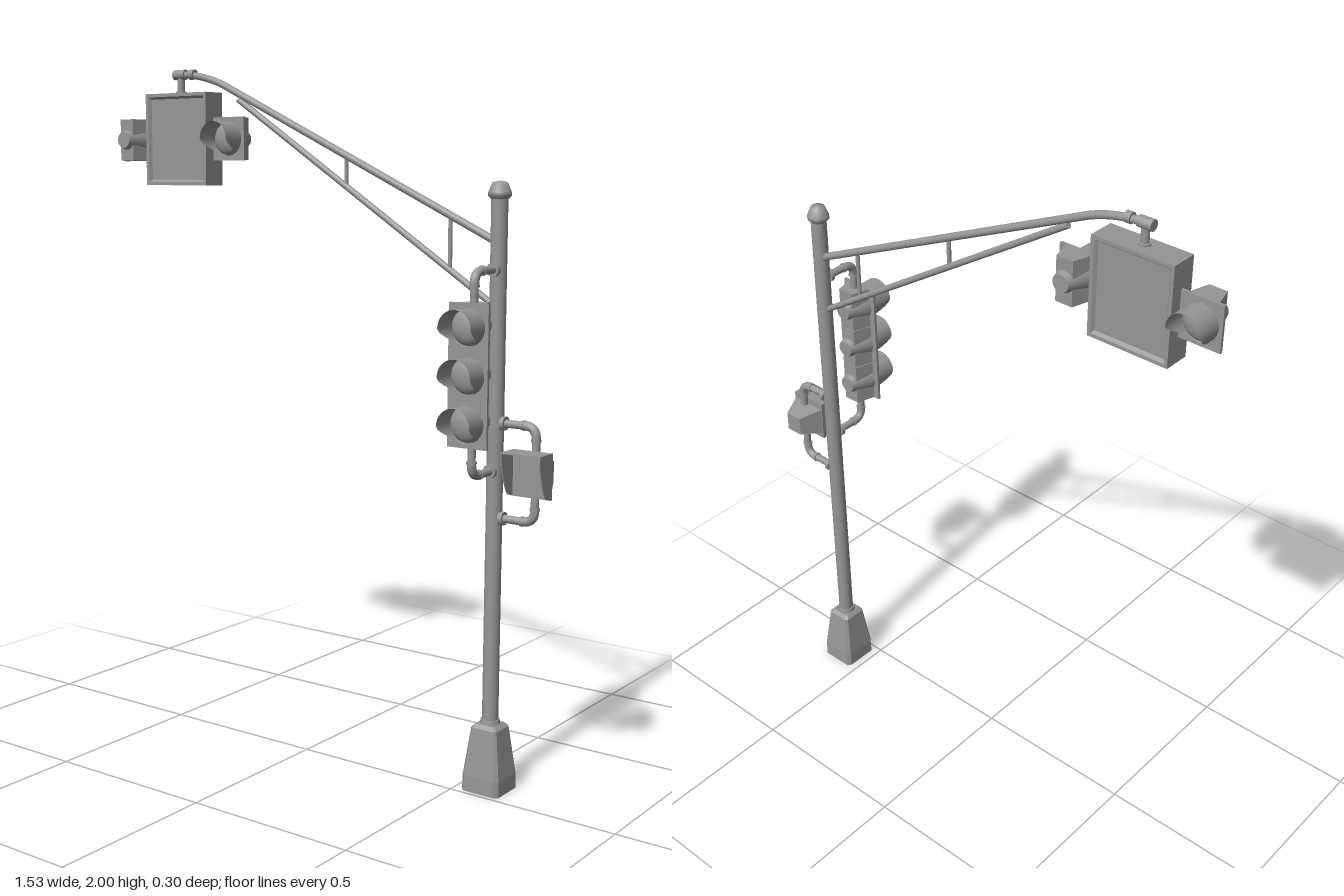
import * as THREE from 'three';

const V = (x, y, z) => new THREE.Vector3(x, y, z);
const POLE_X = 0.582, POLE_Z = -0.07;

export function createModel() {
  const root = new THREE.Group();
  root.name = 'trafficSignal';
  const grey = new THREE.MeshStandardMaterial({ color: 0x969696 });
  const thin = new THREE.MeshStandardMaterial({ color: 0x969696, side: THREE.DoubleSide });

  const add = (parent, name, geo, x = 0, y = 0, z = 0, mat = grey) => {
    const m = new THREE.Mesh(geo, mat);
    m.name = name;
    m.position.set(x, y, z);
    parent.add(m);
    return m;
  };
  const group = (name, x, y, z, parent = root) => {
    const g = new THREE.Group();
    g.name = name;
    g.position.set(x, y, z);
    parent.add(g);
    return g;
  };

  // Box whose -z end is narrowed to kx, ky of its front
  const taperBox = (w, h, d, kx, ky) => {
    const g = new THREE.BoxGeometry(w, h, d), p = g.attributes.position;
    for (let i = 0; i < p.count; i++) {
      if (p.getZ(i) < 0) p.setXY(i, p.getX(i) * kx, p.getY(i) * ky);
    }
    g.computeVertexNormals();
    return g;
  };

  // Upright square block with cut corners, from half-width a at y0 to b at y1
  const squareBlock = (a, b, y0, y1) => {
    const c = a * 0.82;
    const shape = new THREE.Shape([[a, -c], [a, c], [c, a], [-c, a], [-a, c], [-a, -c], [-c, -a], [c, -a]]
      .map(([x, y]) => new THREE.Vector2(x, y)));
    const g = new THREE.ExtrudeGeometry(shape, { depth: y1 - y0, bevelEnabled: false });
    const p = g.attributes.position;
    for (let i = 0; i < p.count; i++) {
      if (p.getZ(i) > 0) p.setXY(i, p.getX(i) * b / a, p.getY(i) * b / a);
    }
    g.computeVertexNormals();
    return g.rotateX(-Math.PI / 2).translate(0, y0, 0);
  };

  // Straight round bar between two points
  const bar = (parent, name, a, b, r, sides = 16) => {
    const m = add(parent, name, new THREE.CylinderGeometry(r, r, a.distanceTo(b), sides));
    m.position.copy(a).lerp(b, 0.5);
    m.quaternion.setFromUnitVectors(V(0, 1, 0), b.clone().sub(a).normalize());
  };

  // Pipe from the pole with one rounded elbow, slim sleeves and a wall flange
  const elbowPipe = (name, start, corner, end) => {
    const g = group(name, 0, 0, 0), bend = 0.035;
    const toStart = start.clone().sub(corner).normalize(), toEnd = end.clone().sub(corner).normalize();
    const a = corner.clone().addScaledVector(toStart, bend);
    const b = corner.clone().addScaledVector(toEnd, bend);
    bar(g, 'pipe', start, a, 0.011);
    bar(g, 'pipe', b, end, 0.011);
    add(g, 'elbow', new THREE.TubeGeometry(new THREE.QuadraticBezierCurve3(a, corner, b), 12, 0.0125, 14));
    bar(g, 'sleeve', a.clone().addScaledVector(toStart, 0.006), a, 0.014);
    bar(g, 'sleeve', b.clone().addScaledVector(toEnd, 0.006), b, 0.014);
    bar(g, 'flange', start, start.clone().addScaledVector(toStart, -0.012), 0.019);
  };

  // Lamp hood: a tube cut back along its lower half
  const hoodGeo = new THREE.CylinderGeometry(0.05, 0.05, 1, 32, 4, true);
  hoodGeo.rotateX(Math.PI / 2).translate(0, 0, 0.5);
  const hp = hoodGeo.attributes.position;
  for (let i = 0; i < hp.count; i++) {
    const low = Math.max(0, -hp.getY(i) / 0.05);
    hp.setZ(i, hp.getZ(i) * 0.075 * (1 - 0.85 * low * low * (3 - 2 * low)));
  }
  const lensGeo = new THREE.SphereGeometry(0.048, 28, 10, 0, Math.PI * 2, 0, Math.PI / 2);
  lensGeo.rotateX(Math.PI / 2).scale(1, 1, 0.5);
  const rearGeo = new THREE.CylinderGeometry(0.05, 0.024, 0.075, 28);
  rearGeo.rotateX(Math.PI / 2).translate(0, 0, -0.0375);

  // One signal section; its plate lies at z = 0 and it faces +z
  const lamp = (parent, x, y, z, turned = false) => {
    const g = group('signalSection', x, y, z, parent);
    if (turned) g.rotation.y = Math.PI;
    add(g, 'backPlate', new THREE.BoxGeometry(0.12, 0.127, 0.008));
    add(g, 'housing', taperBox(0.085, 0.125, 0.06, 0.6, 1), 0, 0, -0.03);
    add(g, 'lampRear', rearGeo);
    add(g, 'lens', lensGeo, 0, 0, 0.003);
    add(g, 'hood', hoodGeo, 0, 0, 0, thin);
  };

  // Pole with square foot and faceted cap
  const foot = group('base', POLE_X, 0, POLE_Z);
  add(foot, 'footBlock', squareBlock(0.058, 0.057, 0, 0.045));
  add(foot, 'footTaper', squareBlock(0.057, 0.04, 0.045, 0.18));
  add(foot, 'footShoulder', squareBlock(0.04, 0.03, 0.18, 0.19));
  add(foot, 'footCollar', new THREE.CylinderGeometry(0.026, 0.029, 0.016, 24), 0, 0.194, 0);
  add(root, 'pole', new THREE.CylinderGeometry(0.0225, 0.0225, 1.46, 24), POLE_X, 0.9, POLE_Z);
  const cap = [[0.022, 1.623], [0.031, 1.632], [0.031, 1.642], [0.02, 1.668], [0, 1.672]]
    .map(([r, y]) => new THREE.Vector2(r, y));
  add(root, 'poleCap', new THREE.LatheGeometry(cap, 20), POLE_X, 0, POLE_Z);

  // Arm: curved upper tube, straight brace and struts
  const arm = group('arm', 0, 0, POLE_Z - 0.002);
  const path = new THREE.CurvePath();
  path.add(new THREE.LineCurve3(V(POLE_X, 1.508, 0), V(-0.36, 1.948, 0)));
  path.add(new THREE.QuadraticBezierCurve3(V(-0.36, 1.948, 0), V(-0.445, 1.985, 0), V(-0.54, 1.985, 0)));
  add(arm, 'upperTube', new THREE.TubeGeometry(path, 60, 0.0105, 14));
  bar(arm, 'lowerBrace', V(POLE_X, 1.335, 0), V(-0.305, 1.905, 0), 0.009);
  for (const [x, lo, hi] of [[0.085, 1.655, 1.74], [0.43, 1.432, 1.578]]) {
    bar(arm, 'strut', V(x, lo, 0), V(x, hi, 0), 0.006);
  }

  // Hanger carrying the sign from the arm tip
  bar(arm, 'hangerClamp', V(-0.553, 1.985, 0), V(-0.51, 1.985, 0), 0.015);
  bar(arm, 'hangerClamp', V(-0.492, 1.984, 0), V(-0.474, 1.984, 0), 0.015);
  bar(arm, 'hangerPipe', V(-0.53, 1.92, 0), V(-0.53, 1.985, 0), 0.011);
  bar(arm, 'hangerFlange', V(-0.53, 1.925, 0), V(-0.53, 1.935, 0), 0.016);

  // Two-faced sign box: deep frame with sloped inner lips around a recessed panel
  const sign = group('signBox', -0.525, 1.793, -0.076);
  const rect = (w, h) => [[-w, -h], [w, -h], [w, h], [-w, h]].map(([x, y]) => new THREE.Vector2(x, y));
  const outline = new THREE.Shape(rect(0.12, 0.137));
  outline.holes.push(new THREE.Path(rect(0.11, 0.127)));
  const frameGeo = new THREE.ExtrudeGeometry(outline, { depth: 0.076, steps: 2, bevelEnabled: false });
  frameGeo.translate(0, 0, -0.038);
  const fp = frameGeo.attributes.position;
  for (let i = 0; i < fp.count; i++) {
    const inner = Math.abs(fp.getX(i)) < 0.115, middle = Math.abs(fp.getZ(i)) < 0.01;
    if (inner && middle) fp.setXY(i, fp.getX(i) * 0.75, fp.getY(i) * 0.78);
  }
  frameGeo.computeVertexNormals();
  add(sign, 'frame', frameGeo);
  add(sign, 'panel', new THREE.BoxGeometry(0.214, 0.248, 0.058));

  // Single signals either side of the sign, facing opposite ways
  lamp(root, -0.347, 1.793, -0.076);
  lamp(root, -0.705, 1.793, -0.076, true);

  // Three-section signal in front of the pole
  const head = group('mainSignal', POLE_X, 1.17, 0.075);
  for (const i of [-1, 0, 1]) lamp(head, 0, i * 0.127, 0);
  for (const [wall, inner] of [[1.44, 1.35], [0.9, 0.985]]) {
    elbowPipe('mainSignalBracket', V(POLE_X, wall, POLE_Z + 0.02), V(POLE_X, wall, 0.052), V(POLE_X, inner, 0.052));
  }

  // Pedestrian signal beside the pole, with a square hood
  const ped = group('pedestrianSignal', 0.706, 0.905, -0.05);
  add(ped, 'backPlate', new THREE.BoxGeometry(0.118, 0.125, 0.008));
  add(ped, 'housing', taperBox(0.116, 0.085, 0.07, 0.47, 0.68), 0, 0, -0.035);
  add(ped, 'hoodTop', new THREE.BoxGeometry(0.118, 0.004, 0.065), 0, 0.0605, 0.0325);
  const cheek = new THREE.Shape();
  cheek.moveTo(0, -0.0625);
  cheek.lineTo(0.025, -0.056);
  cheek.quadraticCurveTo(0.05, -0.03, 0.065, 0.04);
  cheek.lineTo(0.065, 0.0625);
  cheek.lineTo(0, 0.0625);
  const cheekGeo = new THREE.ExtrudeGeometry(cheek, { depth: 0.004, bevelEnabled: false });
  cheekGeo.rotateY(-Math.PI / 2);
  for (const x of [-0.055, 0.059]) add(ped, 'hoodSide', cheekGeo, x, 0, 0);
  for (const [wall, inner] of [[1.03, 0.955], [0.77, 0.855]]) {
    elbowPipe('pedestrianBracket', V(POLE_X + 0.02, wall, POLE_Z), V(0.706, wall, POLE_Z), V(0.706, inner, POLE_Z));
  }

  return root;
}
